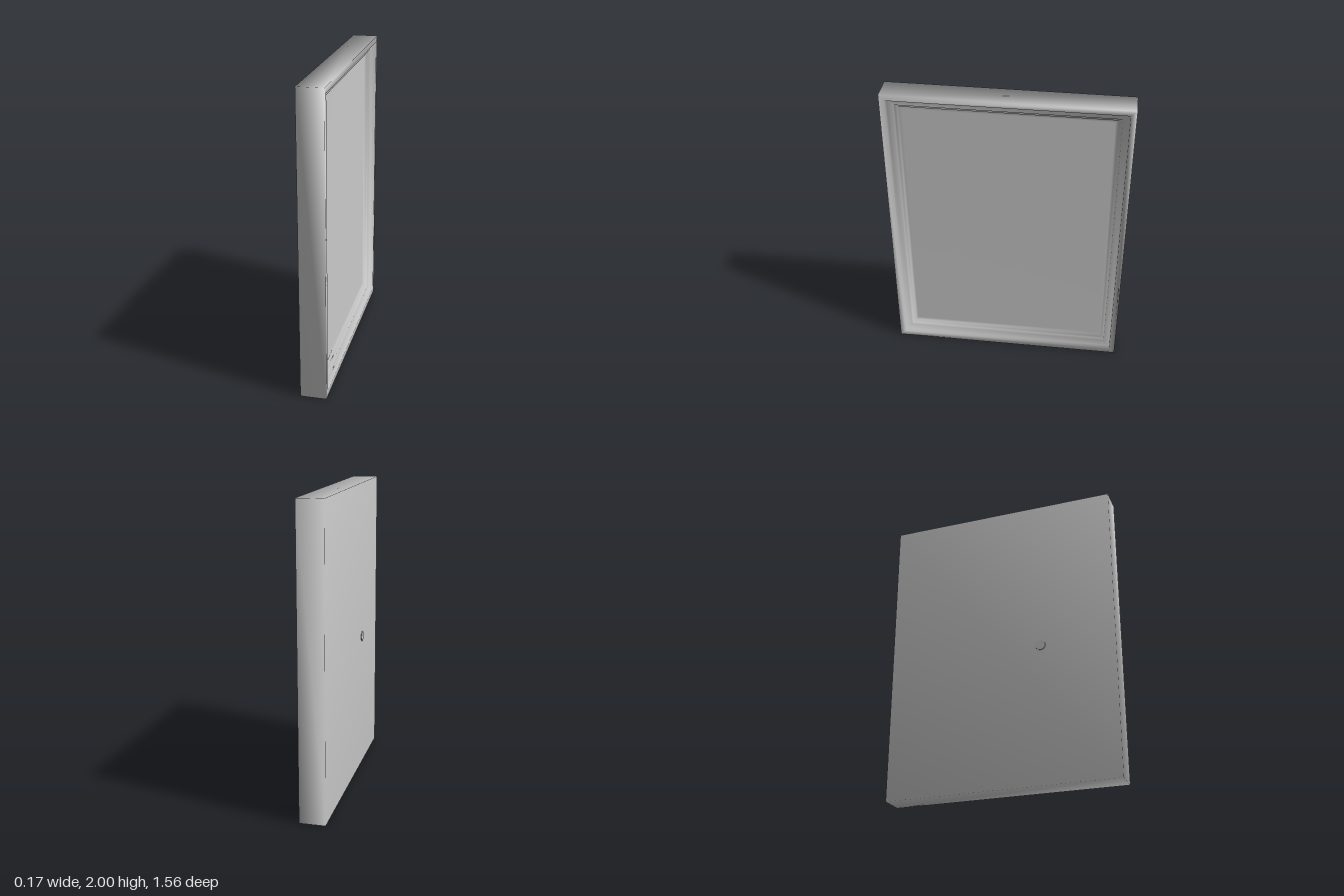
import * as THREE from 'three';

const HALF_Y = 1, HALF_Z = 0.78;

// Skin concentric rectangles [inset, x] into one smooth-shaded closed shell facing +x.
function rectangularLoft(profile) {
  const positions = [], index = [];
  for (const [inset, x] of profile) {
    const y = HALF_Y - inset, z = HALF_Z - inset;
    positions.push(x, -y, z, x, -y, -z, x, y, -z, x, y, z);
  }
  for (let i = 0; i < profile.length - 1; i++) {
    for (let j = 0; j < 4; j++) {
      const k = (j + 1) % 4;
      const a = i * 4 + j, b = i * 4 + k, c = b + 4, d = a + 4;
      index.push(a, b, c, a, c, d);
    }
  }
  const f = (profile.length - 1) * 4;
  index.push(0, 2, 1, 0, 3, 2);
  index.push(f, f + 1, f + 2, f, f + 2, f + 3);
  const geometry = new THREE.BufferGeometry();
  geometry.setAttribute('position', new THREE.Float32BufferAttribute(positions, 3));
  geometry.setIndex(index);
  geometry.computeVertexNormals();
  return geometry;
}

export function createModel() {
  const group = new THREE.Group();
  group.name = 'pictureFrame';
  const material = new THREE.MeshStandardMaterial({ color: 0xcccccc });

  // Flat back, square outer edge, stepped moulding and recessed panel
  const frame = new THREE.Mesh(rectangularLoft([
    [0, -0.083], [0, 0.087], [0.038, 0.087], [0.043, 0.06],
    [0.082, 0.055], [0.087, 0.04], [0.102, 0.036], [0.107, 0.026], [0.125, 0.02],
  ]), material);
  frame.name = 'frameAndPanel';
  frame.position.y = HALF_Y;
  group.add(frame);

  // Small round hanger on the back
  const hanger = new THREE.Mesh(new THREE.CylinderGeometry(0.034, 0.034, 0.008, 24), material);
  hanger.name = 'backHanger';
  hanger.rotation.z = Math.PI / 2;
  hanger.position.set(-0.084, 0.94, 0.28);
  group.add(hanger);

  return group;
}
